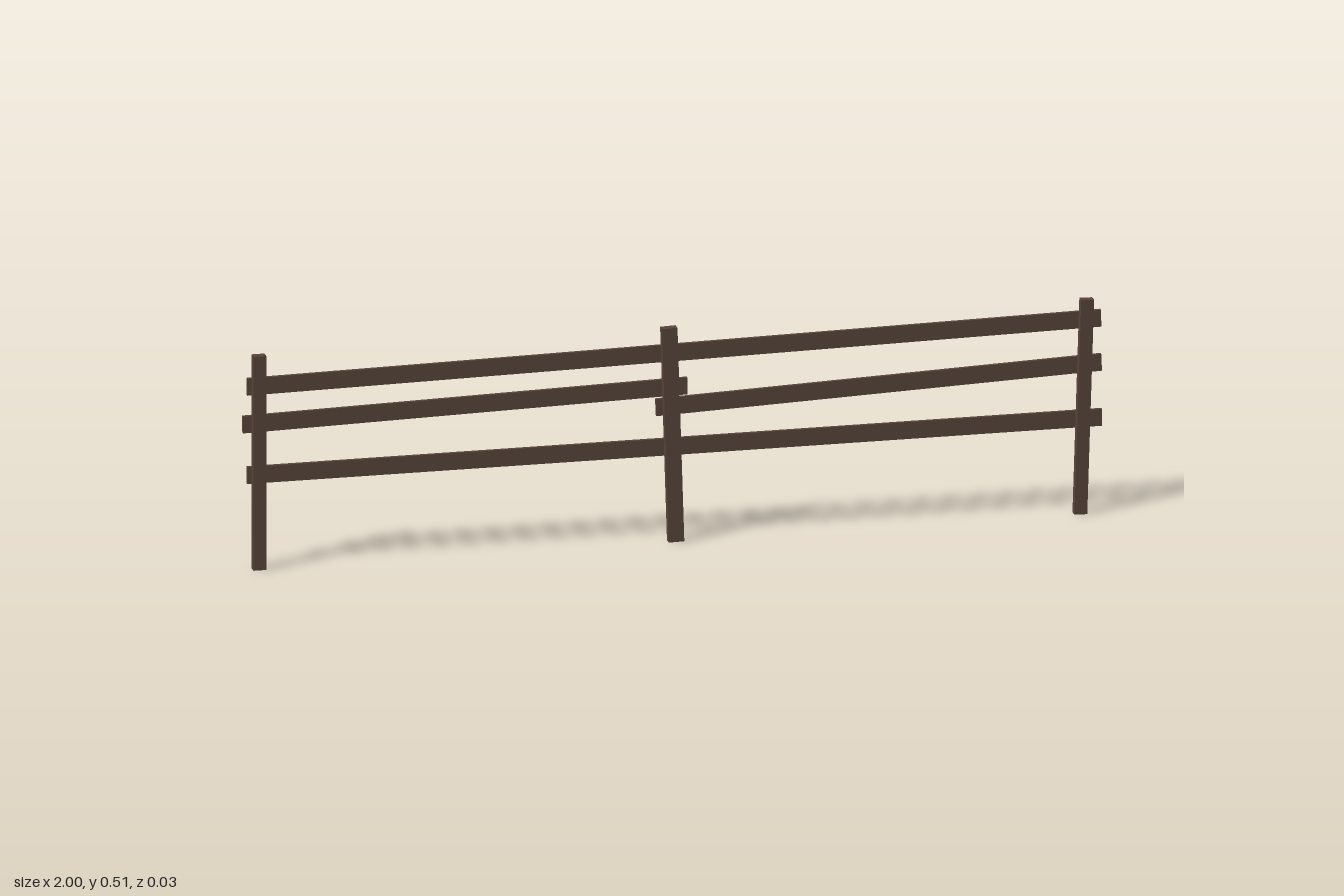
import * as THREE from 'three';

export function createModel() {
  const fence = new THREE.Group();
  fence.name = 'fence';
  const wood = new THREE.MeshStandardMaterial({ color: 0x57443a });
  wood.name = 'dark brown wood';

  // A straight timber whose centre line runs from (x0, y0) to (x1, y1).
  function timber(name, [x0, y0], [x1, y1], width, depth, z) {
    const dx = x1 - x0, dy = y1 - y0;
    const mesh = new THREE.Mesh(new THREE.BoxGeometry(Math.hypot(dx, dy), width, depth), wood);
    mesh.name = name;
    mesh.position.set((x0 + x1) / 2, (y0 + y1) / 2, z);
    mesh.rotation.z = Math.atan2(dy, dx);
    fence.add(mesh);
  }

  // Posts, two of them leaning slightly
  const posts = [
    ['rightPost', -0.965, -0.965, 0.03],
    ['middlePost', 0.005, -0.011, 0.036],
    ['leftPost', 0.946, 0.962, 0.03],
  ];
  for (const [name, foot, top, width] of posts) {
    timber(name, [foot, 0], [top, 0.509], width, 0.02, 0.005);
  }

  // Rails nailed to the back of the posts; the middle one is in two pieces
  const rails = [
    ['topRail', [-0.99, 0.431], [0.998, 0.457]],
    ['middleRailRight', [-1, 0.342], [0.035, 0.363]],
    ['middleRailLeft', [-0.038, 0.316], [0.999, 0.352]],
    ['bottomRail', [-0.99, 0.221], [1, 0.221]],
  ];
  for (const [name, start, end] of rails) {
    timber(name, start, end, 0.04, 0.009, -0.0095);
  }
  return fence;
}
